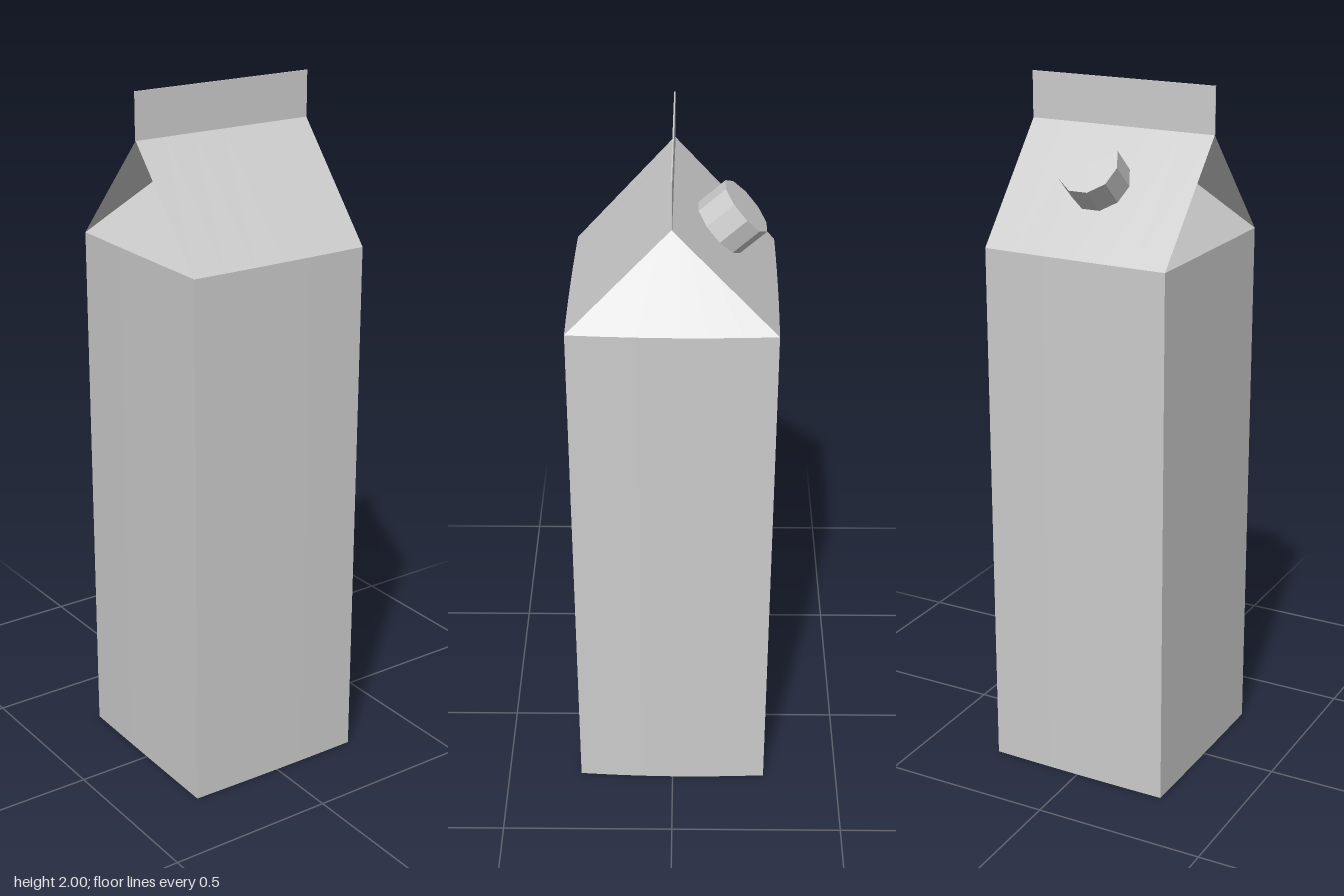
import * as THREE from 'three';

const EAVE = 1.56, RIDGE = 1.87, TOP = 2;
const SEGMENTS = 6; // per wall, for the slight bulge

const material = new THREE.MeshStandardMaterial({
  color: 0xcccccc, flatShading: true, side: THREE.DoubleSide,
});

// Flat-faced mesh from a list of corner points, three per triangle
function facetMesh(name, points) {
  const geometry = new THREE.BufferGeometry().setFromPoints(points);
  geometry.computeVertexNormals();
  const mesh = new THREE.Mesh(geometry, material);
  mesh.name = name;
  return mesh;
}

const at = (p, y) => new THREE.Vector3(p.x, y, p.y);

export function createModel() {
  const carton = new THREE.Group();
  carton.name = 'carton';

  // Plan (x, z): corners and the middle of each bulging wall, front wall first
  const corners = [[-0.281, 0.273], [0.268, 0.28], [0.273, -0.278], [-0.275, -0.283]]
    .map((c) => new THREE.Vector2(...c));
  const middles = [[0, 0.279], [0.28, 0], [0, -0.283], [-0.279, 0]]
    .map((c) => new THREE.Vector2(...c));
  const walls = corners.map((a, i) => {
    const b = corners[(i + 1) % 4];
    const control = middles[i].clone().multiplyScalar(2).sub(a.clone().add(b).multiplyScalar(0.5));
    return new THREE.QuadraticBezierCurve(a, control, b).getPoints(SEGMENTS);
  });

  const ridgeLeft = new THREE.Vector3(-0.279, RIDGE, -0.002);
  const ridgeRight = new THREE.Vector3(0.28, RIDGE, 0.002);
  const apex = ridgeLeft.clone().lerp(ridgeRight, 0.5);
  const centre = new THREE.Vector3();

  const body = [], base = [], slopes = [], folds = [];
  walls.forEach((wall, w) => {
    for (let i = 0; i < SEGMENTS; i++) {
      const [a, b] = [wall[i], wall[i + 1]];
      const [aTop, bTop] = [at(a, EAVE), at(b, EAVE)];
      body.push(at(a, 0), at(b, 0), bTop, at(a, 0), bTop, aTop);
      base.push(centre, at(b, 0), at(a, 0));
      if (w % 2) {
        // Side panels fold inward to the middle of the ridge
        folds.push(aTop, bTop, apex);
      } else {
        // Front and back slopes run up to the ridge
        const [from, to] = w === 0 ? [ridgeLeft, ridgeRight] : [ridgeRight, ridgeLeft];
        const aRidge = from.clone().lerp(to, i / SEGMENTS);
        const bRidge = from.clone().lerp(to, (i + 1) / SEGMENTS);
        slopes.push(aTop, bTop, bRidge, aTop, bRidge, aRidge);
      }
    }
  });
  carton.add(
    facetMesh('body', body),
    facetMesh('base', base),
    facetMesh('roofSlopes', slopes),
    facetMesh('sideFolds', folds),
  );

  // Upright sealed flap along the ridge
  const flap = new THREE.Mesh(new THREE.BoxGeometry(0.559, TOP - RIDGE, 0.004), material);
  flap.name = 'sealFlap';
  flap.position.set(0, (TOP + RIDGE) / 2, 0);
  flap.rotation.y = -0.007;
  carton.add(flap);

  // Ten-sided screw cap standing square on the back slope
  const height = 0.1;
  const normal = new THREE.Vector3(0, 0.28, -(RIDGE - EAVE)).normalize();
  const cap = new THREE.Mesh(
    new THREE.CylinderGeometry(0.087, 0.087, height, 10, 1, false, Math.PI / 2), material);
  cap.name = 'screwCap';
  cap.rotation.x = Math.atan2(normal.z, normal.y);
  cap.position.set(0, 1.735, -0.122).addScaledVector(normal, height / 2 - 0.005);
  carton.add(cap);

  return carton;
}
